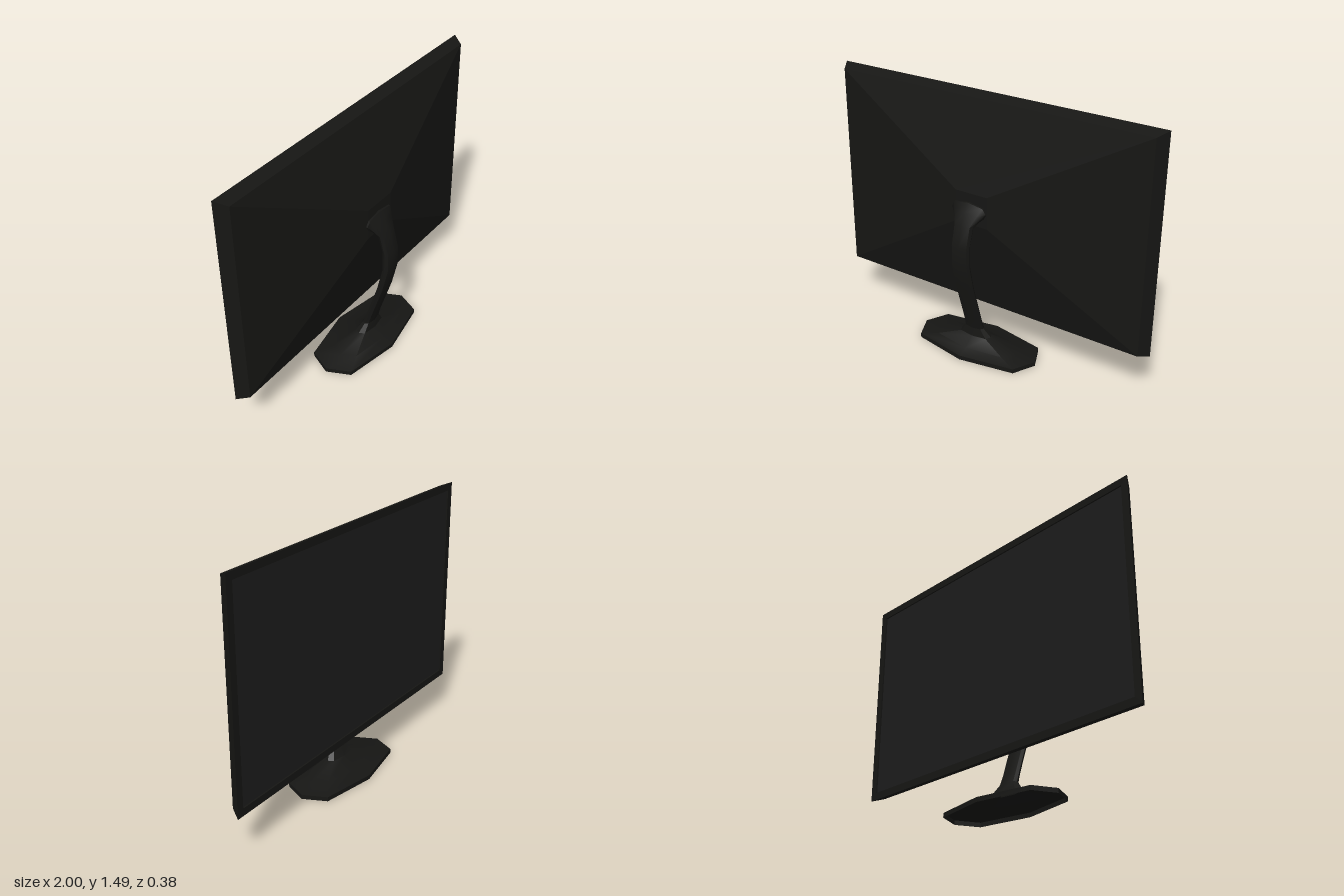
import * as THREE from 'three';
import { toCreasedNormals } from 'three/addons/utils/BufferGeometryUtils.js';

// Skin a list of equally sized point loops; optionally close the last one.
function loft(rings, capEnd) {
  const pos = [];
  const tri = (...pts) => pts.forEach((p) => pos.push(...p));
  const n = rings[0].length;
  for (let i = 0; i < rings.length - 1; i++) {
    for (let j = 0; j < n; j++) {
      const k = (j + 1) % n;
      const a = rings[i][j], b = rings[i][k], c = rings[i + 1][k], d = rings[i + 1][j];
      tri(a, b, c);
      tri(a, c, d);
    }
  }
  if (capEnd) {
    const last = rings[rings.length - 1];
    for (let j = 1; j < n - 1; j++) tri(last[0], last[j], last[j + 1]);
  }
  const geo = new THREE.BufferGeometry();
  geo.setAttribute('position', new THREE.Float32BufferAttribute(pos, 3));
  geo.computeVertexNormals();
  return geo;
}

// Rectangle at depth z, counter-clockwise seen from +z
const rect = (hx, y0, y1, z) => [[-hx, y0, z], [hx, y0, z], [hx, y1, z], [-hx, y1, z]];

// Octagonal section from its front point, back point and half width
const OCT = [[1, 0], [0.84, 0.69], [0, 1], [-0.84, 0.69], [-1, 0], [-0.84, -0.69], [0, -1], [0.84, -0.69]];
function section([fz, fy, bz, by, hx]) {
  return OCT.map(([u, v]) => [
    -0.01 + u * hx,
    (fy + by) / 2 + v * (by - fy) / 2,
    (fz + bz) / 2 + v * (bz - fz) / 2,
  ]);
}

export function createModel() {
  const group = new THREE.Group();
  const dark = new THREE.MeshStandardMaterial({ color: 0x161614, side: THREE.DoubleSide });
  const glass = new THREE.MeshStandardMaterial({ color: 0x1c1c1c });
  const add = (name, geo, mat) => {
    const mesh = new THREE.Mesh(geo, mat);
    mesh.name = name;
    group.add(mesh);
    return mesh;
  };

  // Housing: recessed bezel, bevelled rim, then a shallow pyramid to the hub
  add('housing', loft([
    rect(0.958, 0.292, 1.443, -0.092),
    rect(0.958, 0.292, 1.443, -0.1),
    rect(1, 0.25, 1.485, -0.1),
    rect(0.96, 0.27, 1.46, -0.035),
    rect(0.1, 0.8, 0.98, 0.085),
  ], true), dark);

  // Screen, facing -z
  const screen = add('screen', new THREE.PlaneGeometry(1.916, 1.151), glass);
  screen.rotation.y = Math.PI;
  screen.position.set(0, 0.8675, -0.092);

  // Foot: hollow octagonal shell rising into the neck
  const foot = [
    [0.19, 0, -0.19, 0, 0.38],
    [0.19, 0.025, -0.19, 0.025, 0.38],
    [0.13, 0.045, -0.1, 0.045, 0.26],
    [0.07, 0.095, -0.02, 0.095, 0.1],
    [0.065, 0.145, 0.01, 0.145, 0.058],
  ];
  add('foot', toCreasedNormals(loft(foot.map(section), false), 0.5), dark);

  // Neck: curved column flaring into the mount behind the housing
  const neck = [
    [0.065, 0.145, 0.01, 0.145, 0.058],
    [0.08, 0.205, 0.03, 0.195, 0.056],
    [0.155, 0.44, 0.105, 0.435, 0.056],
    [0.19, 0.59, 0.14, 0.585, 0.056],
    [0.19, 0.7, 0.14, 0.705, 0.056],
    [0.16, 0.82, 0.11, 0.8, 0.058],
    [0.125, 0.885, 0.095, 0.825, 0.085],
    [0.098, 0.93, 0.085, 0.838, 0.108],
    [0.07, 0.93, 0.07, 0.835, 0.108],
  ];
  add('neck', toCreasedNormals(loft(neck.map(section), true), 0.8), dark);

  return group;
}
